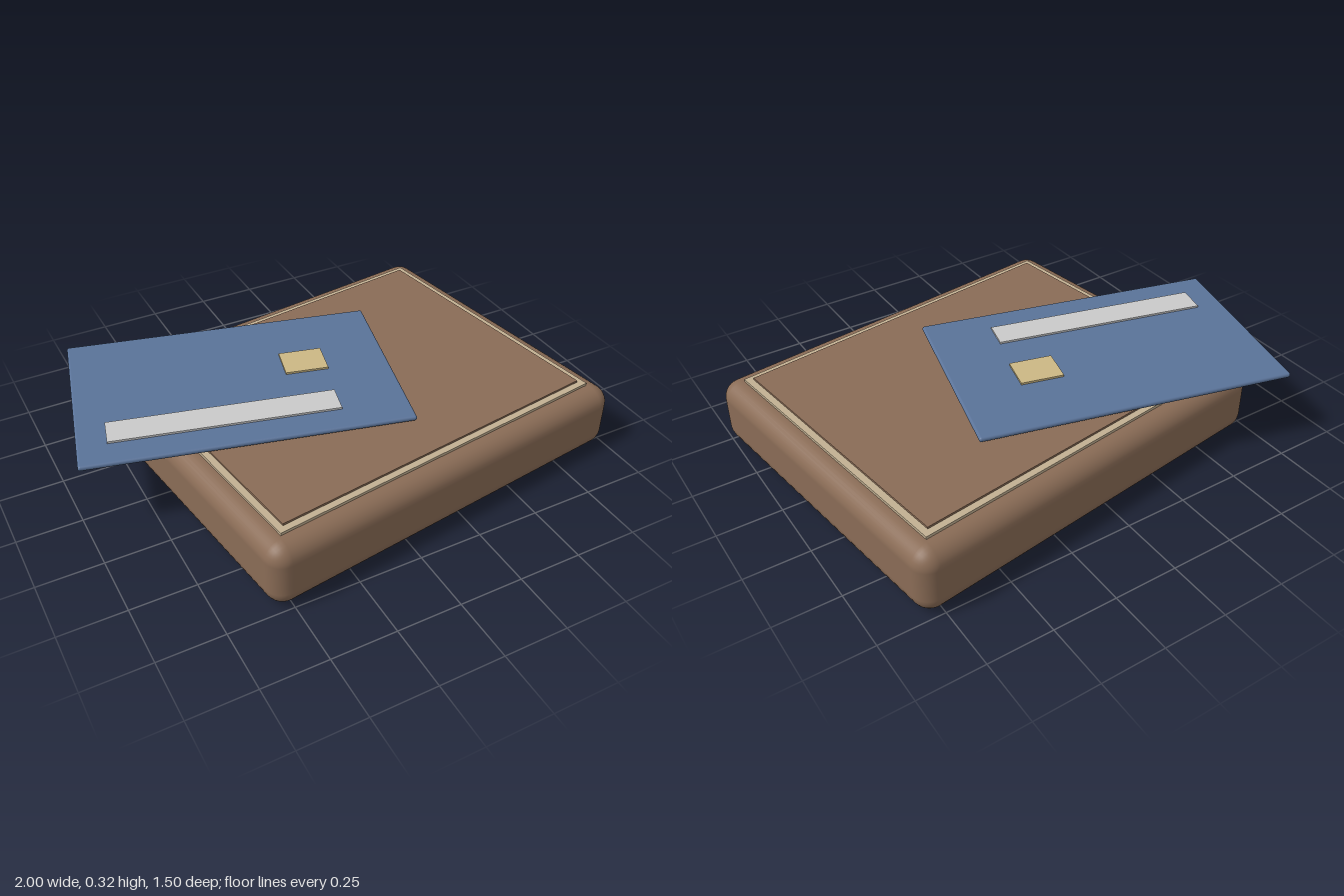
import * as THREE from 'three';
import { RoundedBoxGeometry } from 'three/addons/geometries/RoundedBoxGeometry.js';

const material = (name, color) => {
  const m = new THREE.MeshStandardMaterial({ color });
  m.name = name;
  return m;
};

export function createModel() {
  const leather = material('brown leather', 0x8a6c56);
  const thread = material('cream trim', 0xc2b092);
  const blue = material('card blue', 0x5a7399);
  const silver = material('silver grey', 0xcacaca);
  const gold = material('chip gold', 0xccb884);

  // Adds a box spanning bottom..top; a radius rounds its edges
  const slab = (parent, name, mat, [w, d], [bottom, top], [x, z] = [0, 0], radius = 0) => {
    const h = top - bottom;
    const geometry = radius
      ? new RoundedBoxGeometry(w, h, d, 4, radius)
      : new THREE.BoxGeometry(w, h, d);
    const mesh = new THREE.Mesh(geometry, mat);
    mesh.name = name;
    mesh.position.set(x, (bottom + top) / 2, z);
    parent.add(mesh);
  };

  // Wallet: padded body, cream trim showing around a raised top panel
  const wallet = new THREE.Group();
  wallet.name = 'wallet';
  wallet.position.set(0.128, 0, 0);
  wallet.rotation.y = 0.14;
  slab(wallet, 'walletBody', leather, [1.597, 1.308], [0, 0.264], [0, 0], 0.07);
  slab(wallet, 'trim', thread, [1.444, 1.146], [0.255, 0.275]);
  slab(wallet, 'topPanel', leather, [1.392, 1.094], [0.265, 0.283]);

  // Card lying across the wallet, with a pale strip and a chip
  const card = new THREE.Group();
  card.name = 'card';
  card.position.set(-0.3075, 0, -0.1475);
  card.rotation.y = -0.246;
  slab(card, 'cardBody', blue, [1.236, 0.782], [0.291, 0.311], [0, 0], 0.0095);
  slab(card, 'cardStrip', silver, [0.866, 0.118], [0.31, 0.319], [-0.074, 0.22]);
  slab(card, 'cardChip', gold, [0.17, 0.14], [0.31, 0.319], [0.2885, -0.061]);

  const model = new THREE.Group();
  model.name = 'walletWithCard';
  model.add(wallet, card);
  return model;
}
